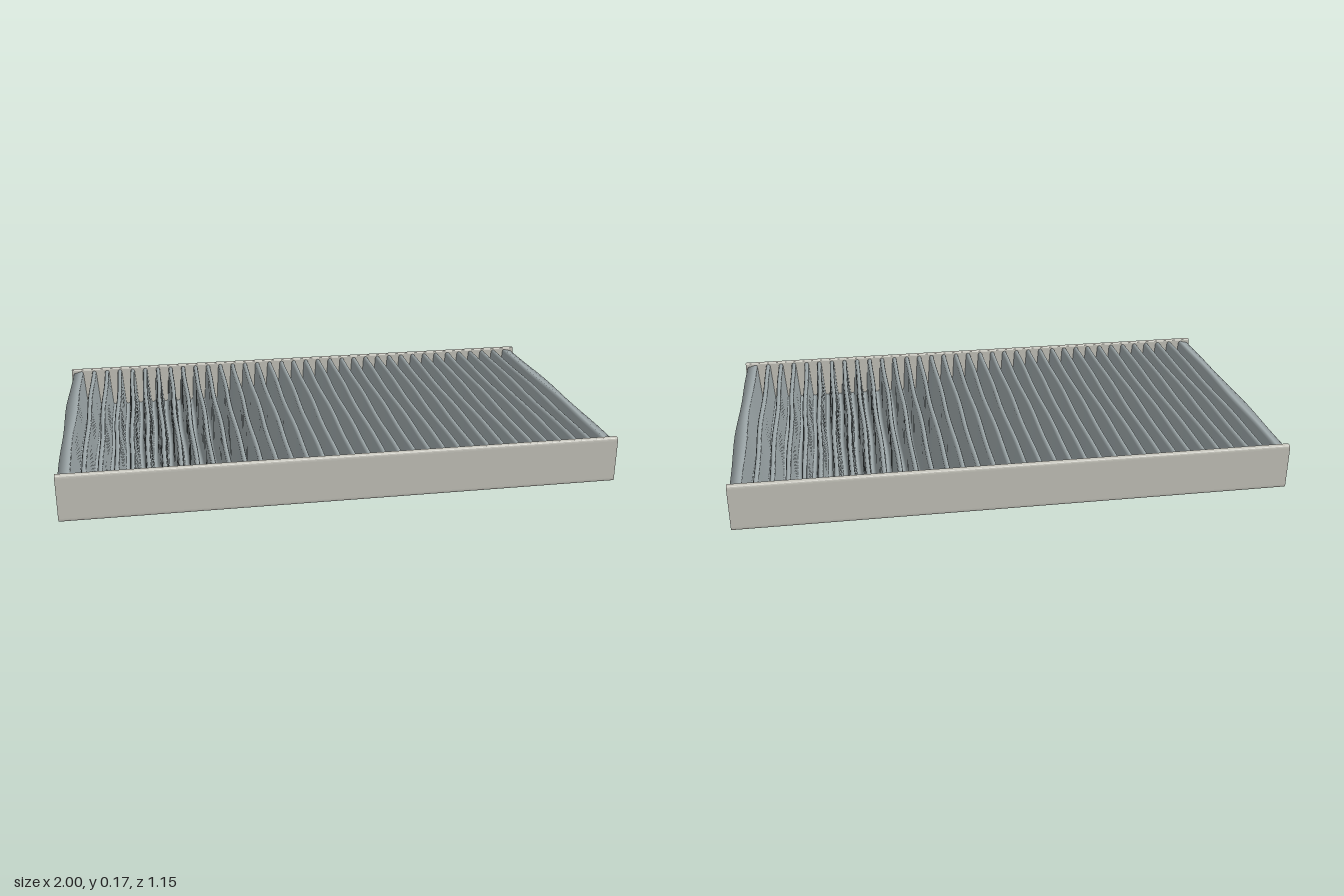
import * as THREE from 'three';

const PLEATS = 36, HALF_X = 0.985, HALF_Z = 0.555;
const LOW = 0.006, HIGH = 0.163;

// Folded filter paper: a grid bent into steep pleats with rounded folds
function pleatedSheet() {
  const r = 0.009;                       // fold radius
  const step = HALF_X / PLEATS;          // half a pleat
  const profile = [[-HALF_X - 0.004, LOW]];
  for (let i = 0; i < PLEATS * 2 - 1; i++) {
    const crest = i % 2 === 0;
    const x = -HALF_X + step * (i + 1);
    for (let k = 0; k <= 4; k++) {
      const a = Math.PI * (1 - k / 4);
      const dy = r * (1 - Math.sin(a));
      profile.push([x + r * Math.cos(a), crest ? HIGH - dy : LOW + dy]);
    }
  }
  profile.push([HALF_X + 0.004, LOW]);
  // Upright end panels
  profile[1][0] = -HALF_X - 0.004;
  profile[profile.length - 2][0] = HALF_X + 0.004;

  const nu = profile.length - 1, nv = 24;
  const geo = new THREE.PlaneGeometry(1, 1, nu, nv);
  const pos = geo.attributes.position;
  for (let j = 0; j <= nv; j++) {
    const v = j / nv, z = (v * 2 - 1) * HALF_Z;
    const free = Math.sin(Math.PI * v);  // held straight at both rails
    for (let i = 0; i <= nu; i++) {
      const [x, y] = profile[i];
      const fold = Math.round((x + HALF_X) / step);
      const wave = 0.0035 * free * Math.sin(z * 9 + fold * 2.4);
      const bow = 0.008 * free * Math.pow(x, 9);
      pos.setXYZ(j * (nu + 1) + i, x + wave + bow, y, z);
    }
  }
  geo.computeVertexNormals();
  return geo;
}

// Long edge strip, extruded along x with softened corners
function railGeometry() {
  const t = 0.023, h = 0.17, c = 0.006;
  const s = new THREE.Shape();
  s.moveTo(0, c);
  s.quadraticCurveTo(0, 0, c, 0);
  s.lineTo(t - c, 0);
  s.quadraticCurveTo(t, 0, t, c * 2);
  s.lineTo(t, h - c * 2);
  s.quadraticCurveTo(t, h, t - c, h);
  s.lineTo(c, h);
  s.quadraticCurveTo(0, h, 0, h - c);
  s.closePath();
  const geo = new THREE.ExtrudeGeometry(s, { depth: 1.995, bevelEnabled: false, curveSegments: 4 });
  geo.translate(0, 0, -0.9975);
  geo.rotateY(-Math.PI / 2);             // thickness runs toward +z
  geo.translate(0, 0, 0.551);
  return geo;
}

export function createModel() {
  const group = new THREE.Group();
  group.name = 'pleatedFilter';

  const paper = new THREE.MeshStandardMaterial({ color: 0x9ca6a8, side: THREE.DoubleSide });
  const card = new THREE.MeshStandardMaterial({ color: 0xc8c7be });

  const sheet = new THREE.Mesh(pleatedSheet(), paper);
  sheet.name = 'pleatedPaper';
  group.add(sheet);

  // Matching rails at front and back
  const rail = railGeometry();
  for (const [name, turn] of [['frontRail', 0], ['backRail', Math.PI]]) {
    const mesh = new THREE.Mesh(rail, card);
    mesh.name = name;
    mesh.rotation.y = turn;
    group.add(mesh);
  }
  return group;
}
